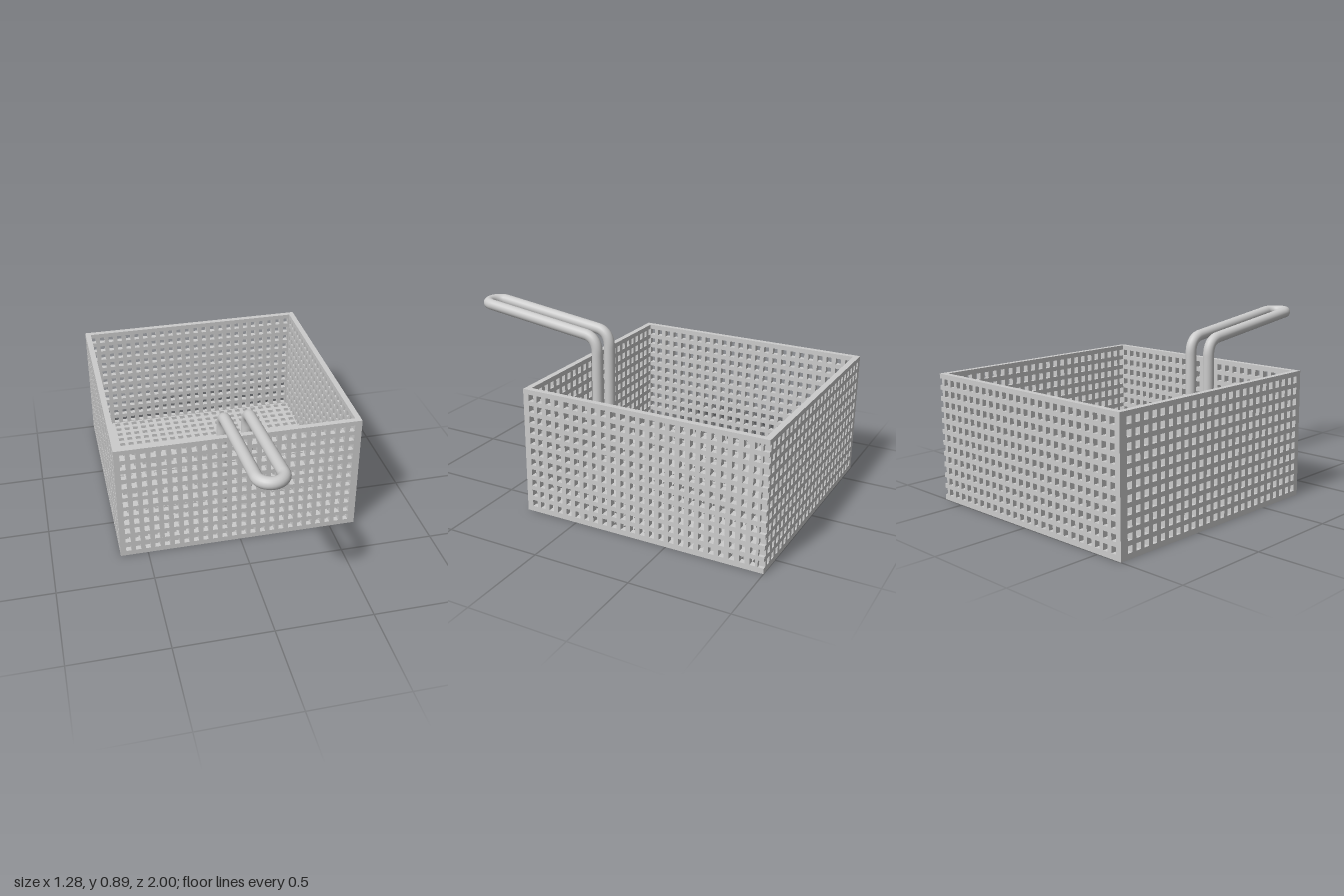
import * as THREE from 'three';

const material = new THREE.MeshStandardMaterial({ color: 0xcccccc });

// Outer limits of the basket and thickness of its mesh
const X0 = -0.645, X1 = 0.64, Z0 = -1, Z1 = 0.29, H = 0.66;
const WALL = 0.03, FLOOR = 0.025;

// Evenly spaced hole centres
const spread = (from, to, count) =>
  Array.from({ length: count }, (_, i) => from + ((to - from) * i) / (count - 1));

const cols = spread(-0.601, 0.588, 24);
const rows = spread(0.045, 0.618, 11);
const sideCols = spread(-0.25, 0.944, 24); // along -z
const floorRows = spread(-0.245, 0.944, 22); // along -z

// Perforated plate in the XY plane; notched plates have bites along the right edge
function plate(u0, u1, v0, v1, us, vs, hw, hh, depth, notch = 0) {
  const shape = new THREE.Shape();
  shape.moveTo(u0, v0);
  shape.lineTo(u1, v0);
  if (notch) {
    for (const v of vs) {
      shape.lineTo(u1, v - hh / 2);
      shape.lineTo(u1 - notch, v - hh / 2);
      shape.lineTo(u1 - notch, v + hh / 2);
      shape.lineTo(u1, v + hh / 2);
    }
  }
  shape.lineTo(u1, v1);
  shape.lineTo(u0, v1);
  shape.closePath();
  for (const u of us) {
    for (const v of vs) {
      const hole = new THREE.Path();
      hole.moveTo(u - hw / 2, v - hh / 2);
      hole.lineTo(u - hw / 2, v + hh / 2);
      hole.lineTo(u + hw / 2, v + hh / 2);
      hole.lineTo(u + hw / 2, v - hh / 2);
      hole.closePath();
      shape.holes.push(hole);
    }
  }
  return new THREE.ExtrudeGeometry(shape, { depth, bevelEnabled: false });
}

function add(group, name, geometry) {
  const mesh = new THREE.Mesh(geometry, material);
  mesh.name = name;
  group.add(mesh);
  return mesh;
}

function createBasket() {
  const basket = new THREE.Group();
  basket.name = 'basket';

  // Front and back walls
  add(basket, 'frontWall', plate(X0, X1, FLOOR, H, cols, rows, 0.028, 0.034, WALL))
    .position.z = Z1 - WALL;
  add(basket, 'backWall', plate(X0, X1, FLOOR, H, cols, rows, 0.028, 0.034, WALL, 0.018))
    .position.z = Z0;

  // Side walls fit between the front and back ones
  const side = plate(-(Z1 - WALL), -(Z0 + WALL), FLOOR, H,
    sideCols.map((u) => Math.min(Math.max(u, -0.245), 0.955)), rows, 0.028, 0.034, WALL);
  side.rotateY(Math.PI / 2);
  add(basket, 'rightWall', side).position.x = X0;
  add(basket, 'leftWall', side).position.x = X1 - WALL;

  // Perforated floor
  const floor = plate(X0, X1, -Z1, -Z0, cols, floorRows, 0.031, 0.029, FLOOR);
  floor.rotateX(-Math.PI / 2);
  add(basket, 'floor', floor);
  return basket;
}

function createHandle() {
  const handle = new THREE.Group();
  handle.name = 'handle';
  const cx = -0.02, half = 0.0635, r = 0.03;
  const legZ = 0.229, foot = 0.045, k = half * 0.5523;
  const tipZ = 0.905, tipY = 0.853;
  const V = (x, y, z) => new THREE.Vector3(cx + x, y, z);

  // Up one leg, out along the grip, around the end and back
  const path = new THREE.CurvePath();
  const low = (s) => V(s * half, foot, legZ);
  const bendA = (s) => V(s * half, 0.68, legZ);
  const bendB = (s) => V(s * half, 0.773, 0.3);
  const corner = (s) => [V(s * half, 0.735, legZ), V(s * half, 0.767, 0.255)];
  const tip = (s) => V(s * half, tipY, tipZ);
  const end = V(0, tipY + 0.003, tipZ + half);
  const [a1, a2] = corner(-1);
  const [b1, b2] = corner(1);
  path.add(new THREE.LineCurve3(low(-1), bendA(-1)));
  path.add(new THREE.CubicBezierCurve3(bendA(-1), a1, a2, bendB(-1)));
  path.add(new THREE.LineCurve3(bendB(-1), tip(-1)));
  path.add(new THREE.CubicBezierCurve3(tip(-1), V(-half, tipY + 0.003, tipZ + k),
    V(-k, tipY + 0.003, tipZ + half), end));
  path.add(new THREE.CubicBezierCurve3(end, V(k, tipY + 0.003, tipZ + half),
    V(half, tipY + 0.003, tipZ + k), tip(1)));
  path.add(new THREE.LineCurve3(tip(1), bendB(1)));
  path.add(new THREE.CubicBezierCurve3(bendB(1), b2, b1, bendA(1)));
  path.add(new THREE.LineCurve3(bendA(1), low(1)));
  add(handle, 'handleRod', new THREE.TubeGeometry(path, 240, r, 20, false));

  // Flat ends of the legs
  for (const s of [-1, 1]) {
    const cap = add(handle, 'legEnd', new THREE.CircleGeometry(r, 20));
    cap.rotation.x = Math.PI / 2;
    cap.position.copy(low(s));
  }
  return handle;
}

export function createModel() {
  const model = new THREE.Group();
  model.name = 'fryerBasket';
  model.add(createBasket(), createHandle());
  return model;
}
